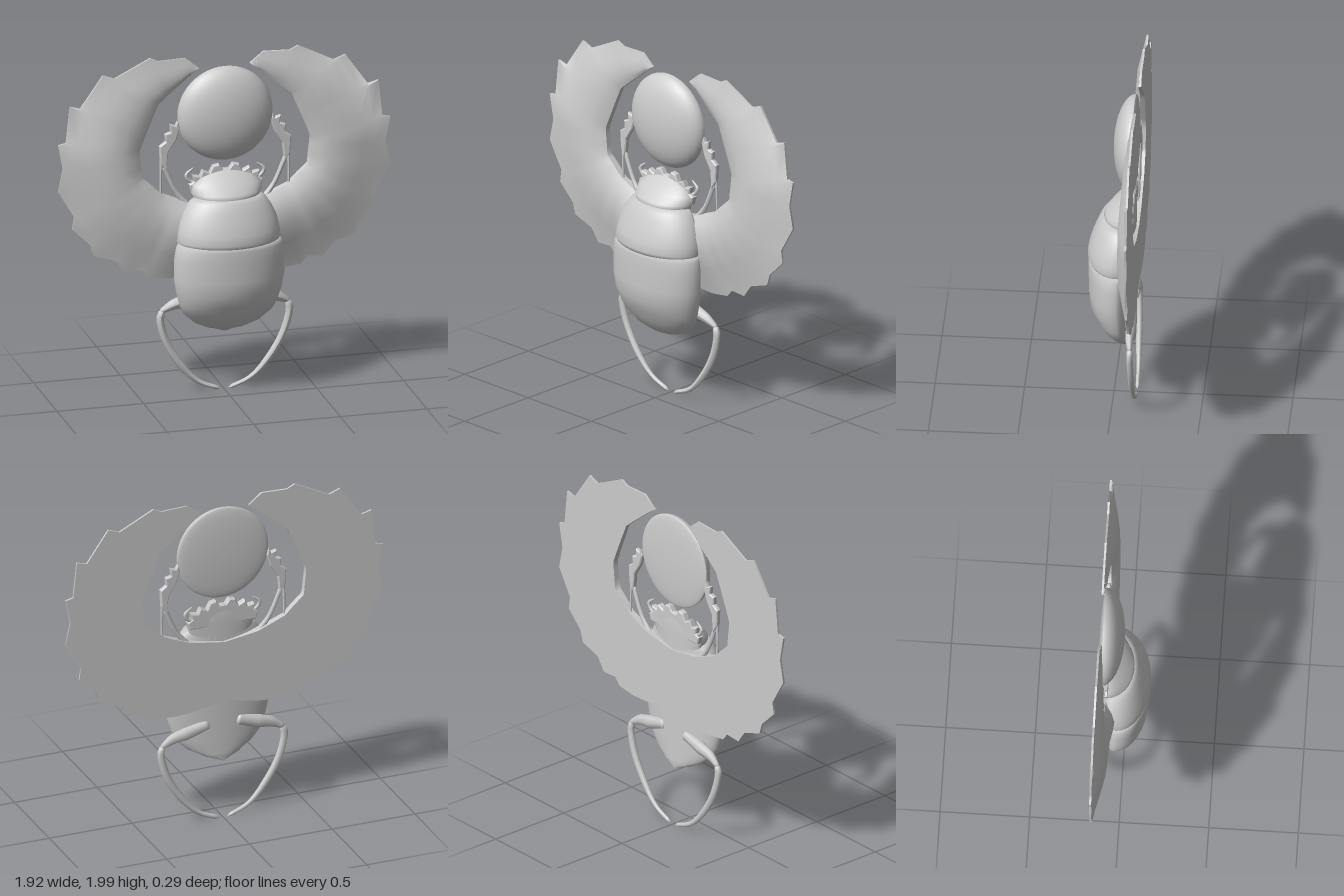
import * as THREE from 'three';
import { toCreasedNormals } from 'three/addons/utils/BufferGeometryUtils.js';

const BACK = -0.14;
const material = new THREE.MeshStandardMaterial({ color: 0xcccccc, side: THREE.DoubleSide });

// Skin a list of closed rings of [x, y, z] points
function loft(rings) {
  const n = rings[0].length, index = [];
  for (let i = 0; i < rings.length - 1; i++) {
    for (let j = 0; j < n; j++) {
      const k = (j + 1) % n, a = i * n + j, b = a + n, c = i * n + k, d = c + n;
      index.push(a, b, c, b, d, c);
    }
  }
  const g = new THREE.BufferGeometry();
  g.setAttribute('position', new THREE.Float32BufferAttribute(rings.flat(2), 3));
  g.setIndex(index);
  g.computeVertexNormals();
  return g;
}

// Stack of oval sections [y, halfWidth, frontZ, rimZ, backZ]
function shell(sections, sides = 32) {
  return loft(sections.map(([y, w, front, rim, back]) =>
    Array.from({ length: sides }, (_, j) => {
      const a = (j / sides) * Math.PI * 2, s = Math.sin(a);
      return [w * Math.cos(a), y, rim + s * (s > 0 ? front - rim : rim - back)];
    })));
}

// Tapered limb through [x, y, z, radius] points, closed to a tip at both ends
function limb(points, flat = 0.8) {
  const curve = new THREE.CatmullRomCurve3(points.map(p => new THREE.Vector3(p[0], p[1], p[2])));
  const steps = 28, sides = 8;
  const g = new THREE.TubeGeometry(curve, steps, 1, sides);
  const pos = g.attributes.position, v = new THREE.Vector3();
  for (let i = 0; i <= steps; i++) {
    const centre = curve.getPointAt(i / steps);
    const t = curve.getUtoTmapping(i / steps) * (points.length - 1);
    const k = Math.min(Math.floor(t), points.length - 2);
    const tip = i === 0 || i === steps;
    const r = tip ? 0.001 : THREE.MathUtils.lerp(points[k][3], points[k + 1][3], t - k);
    for (let j = 0; j <= sides; j++) {
      const id = i * (sides + 1) + j;
      v.fromBufferAttribute(pos, id).sub(centre).multiplyScalar(r);
      pos.setXYZ(id, centre.x + v.x, centre.y + v.y, centre.z + v.z * flat);
    }
  }
  g.computeVertexNormals();
  return g;
}

// Flat plate cut from an outline
function plate(outline, z, depth) {
  const shape = new THREE.Shape(outline.map(p => new THREE.Vector2(...p)));
  const bevel = 0.006;
  return new THREE.ExtrudeGeometry(shape, {
    depth: depth - 2 * bevel, bevelThickness: bevel, bevelSize: bevel, bevelOffset: -bevel, bevelSegments: 1,
  }).translate(0, 0, z + bevel);
}

function mirrored(geometry) {
  const g = geometry.clone().scale(-1, 1, 1);
  const src = g.index ? Array.from(g.index.array) : Array.from({ length: g.attributes.position.count }, (_, i) => i);
  for (let i = 0; i < src.length; i += 3) [src[i], src[i + 1]] = [src[i + 1], src[i]];
  g.setIndex(src);
  return g;
}

// Wing stations: outer x, outer y, inner x, inner y, bulge height
const wingStations = [
  [0, 0.74, 0, 1.1, 0.09],
  [0.2, 0.7, 0.2, 1.13, 0.095],
  [0.32, 0.693, 0.25, 1.15, 0.09],
  [0.442, 0.709, 0.3, 1.17, 0.075],
  [0.479, 0.752, 0.33, 1.183, 0.07],
  [0.574, 0.746, 0.363, 1.196, 0.07],
  [0.627, 0.82, 0.39, 1.22, 0.07],
  [0.755, 0.863, 0.42, 1.25, 0.068],
  [0.776, 0.93, 0.445, 1.272, 0.068],
  [0.876, 1.027, 0.465, 1.29, 0.066],
  [0.866, 1.1, 0.48, 1.305, 0.066],
  [0.958, 1.255, 0.485, 1.36, 0.064],
  [0.93, 1.387, 0.492, 1.42, 0.062],
  [0.958, 1.53, 0.495, 1.46, 0.06],
  [0.913, 1.54, 0.48, 1.5, 0.058],
  [0.89, 1.752, 0.455, 1.56, 0.05],
  [0.83, 1.736, 0.43, 1.62, 0.048],
  [0.7, 1.92, 0.4, 1.69, 0.04],
  [0.633, 1.895, 0.384, 1.726, 0.036],
  [0.426, 1.998, 0.32, 1.78, 0.026],
  [0.38, 1.975, 0.28, 1.812, 0.022],
  [0.225, 1.98, 0.2, 1.877, 0.014],
  [0.15, 1.92, 0.148, 1.914, 0.008],
];

function wing() {
  const across = [0, 0.15, 0.35, 0.55, 0.75, 0.9, 1];
  const lift = [0, 0.22, 0.6, 0.92, 1, 0.75, 0.35];
  return toCreasedNormals(loft(wingStations.map(([ox, oy, ix, iy, h]) => {
    const at = (s, z) => [ox + (ix - ox) * s, oy + (iy - oy) * s, z];
    const front = across.map((s, i) => at(s, BACK + 0.012 + h * lift[i]));
    return [...front, at(1, BACK), at(0.5, BACK), at(0, BACK)];
  })), 0.8);
}

export function createModel() {
  const model = new THREE.Group();
  const add = (name, geometry) => {
    const mesh = new THREE.Mesh(geometry, material);
    mesh.name = name;
    model.add(mesh);
    return mesh;
  };
  const addPair = (name, geometry) => {
    add(name + 'Left', geometry);
    add(name + 'Right', mirrored(geometry));
  };

  // Wing cases and tail end
  add('abdomen', shell([
    [0.36, 0.005, -0.112, -0.115, -0.12],
    [0.4, 0.11, -0.05, -0.1, -0.125],
    [0.405, 0.12, -0.02, -0.085, -0.125],
    [0.44, 0.19, 0.025, -0.07, -0.125],
    [0.5, 0.255, 0.065, -0.05, -0.125],
    [0.56, 0.283, 0.097, -0.04, -0.125],
    [0.635, 0.303, 0.133, -0.035, -0.125],
    [0.72, 0.317, 0.139, -0.03, -0.125],
    [0.84, 0.316, 0.141, -0.03, -0.125],
    [0.9, 0.306, 0.142, -0.03, -0.125],
    [0.93, 0.29, 0.136, -0.035, -0.125],
    [0.95, 0.02, 0.0, -0.035, -0.06],
  ]));
  // Chest shield
  add('thorax', shell([
    [0.9, 0.02, 0.0, -0.035, -0.06],
    [0.915, 0.285, 0.137, -0.035, -0.125],
    [0.94, 0.298, 0.146, -0.035, -0.125],
    [0.99, 0.291, 0.138, -0.04, -0.125],
    [1.05, 0.278, 0.12, -0.045, -0.125],
    [1.11, 0.25, 0.097, -0.055, -0.125],
    [1.16, 0.218, 0.075, -0.065, -0.125],
    [1.18, 0.185, 0.055, -0.07, -0.12],
    [1.19, 0.02, 0.0, -0.08, -0.1],
  ]));
  // Head with scalloped front plate
  add('head', shell([
    [1.12, 0.18, 0.04, -0.085, -0.125],
    [1.18, 0.193, 0.055, -0.09, -0.125],
    [1.2, 0.203, 0.045, -0.09, -0.125],
    [1.245, 0.197, 0.005, -0.095, -0.125],
    [1.285, 0.15, -0.04, -0.1, -0.122],
    [1.315, 0.075, -0.08, -0.105, -0.12],
    [1.325, 0.005, -0.1, -0.105, -0.11],
  ]));
  const half = [[0.2, 1.2], [0.212, 1.245], [0.185, 1.262], [0.192, 1.298], [0.15, 1.29], [0.135, 1.325],
    [0.095, 1.305], [0.075, 1.345], [0.04, 1.352], [0.018, 1.322]];
  add('headPlate', plate([...half, ...half.map(([x, y]) => [-x, y]).reverse()], -0.122, 0.04));

  addPair('wing', wing());

  // Sun disc: domed front, shallow back
  const disc = new THREE.SphereGeometry(0.275, 32, 24);
  const p = disc.attributes.position;
  for (let i = 0; i < p.count; i++) {
    const z = p.getZ(i) / 0.275;
    p.setZ(i, -0.115 + z * (z > 0 ? 0.115 : 0.024));
  }
  disc.computeVertexNormals();
  add('disc', disc.translate(0, 1.645, 0));

  // Antennae
  addPair('antenna', limb([[0.16, 1.245, -0.11, 0.012], [0.205, 1.262, -0.11, 0.011],
    [0.224, 1.298, -0.11, 0.012], [0.182, 1.338, -0.11, 0.004]]));

  // Front legs: upper leg, spur and toothed lower leg
  addPair('frontThigh', limb([[0.2, 1.1, -0.11, 0.02], [0.28, 1.2, -0.115, 0.014], [0.352, 1.36, -0.115, 0.014]]));
  addPair('frontSpur', limb([[0.368, 1.16, -0.12, 0.007], [0.37, 1.28, -0.118, 0.007], [0.366, 1.4, -0.116, 0.01]]));
  addPair('frontShin', plate([[0.342, 1.33], [0.374, 1.38], [0.38, 1.48], [0.345, 1.505], [0.349, 1.55],
    [0.315, 1.56], [0.32, 1.605], [0.288, 1.595], [0.275, 1.62], [0.262, 1.58], [0.285, 1.51], [0.33, 1.44]], -0.13, 0.03));

  // Hind legs
  addPair('hindThigh', limb([[0.08, 0.6, -0.115, 0.03], [0.22, 0.56, -0.11, 0.04], [0.3, 0.54, -0.108, 0.032],
    [0.375, 0.5, -0.116, 0.014]], 0.7));
  addPair('hindShin', limb([[0.35, 0.515, -0.114, 0.02], [0.372, 0.48, -0.114, 0.022], [0.345, 0.34, -0.118, 0.022],
    [0.255, 0.18, -0.12, 0.021], [0.15, 0.07, -0.125, 0.014], [0.022, 0.015, -0.128, 0.013]]));

  return model;
}
